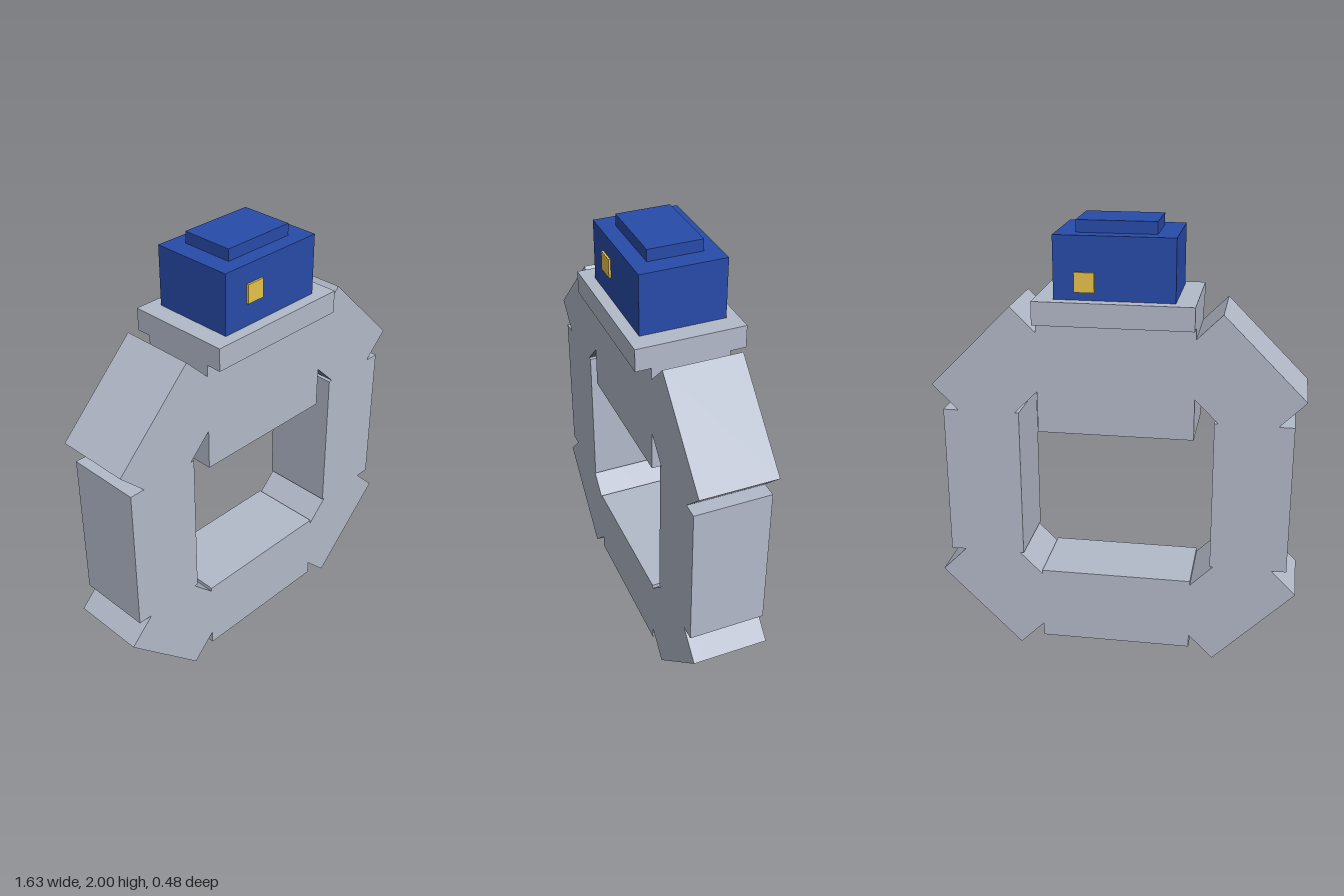
import * as THREE from 'three';

const mat = (name, color) => {
  const m = new THREE.MeshStandardMaterial({ color });
  m.name = name;
  return m;
};

export function createModel() {
  const silver = mat('silver grey', 0xb2b9c8);
  const slate = mat('slate grey', 0x6f768c);
  const blue = mat('deep blue', 0x284ba9);
  const gold = mat('gold', 0xedc84c);
  const model = new THREE.Group();
  model.name = 'ring';

  // Box by size and centre, optionally turned about z
  const box = (name, material, [w, h, d], [x, y, z], turn = 0) => {
    const mesh = new THREE.Mesh(new THREE.BoxGeometry(w, h, d), material);
    mesh.name = name;
    mesh.position.set(x, y, z);
    mesh.rotation.z = turn;
    model.add(mesh);
  };

  // Band bars are silver with a slate underside
  const band = [silver, silver, silver, slate, silver, silver];
  const T = 0.342;

  // Eight-sided band: bottom bar, side bars and four diagonal bars
  box('bottomBar', band, [0.685, T, T], [0, 0.22, 0]);
  for (const s of [1, -1]) {
    const side = s > 0 ? 'left' : 'right';
    box(side + 'Bar', band, [T, 0.685, T], [s * 0.6, 0.817, 0]);
    box(side + 'LowerDiagonal', band, [0.513, T, T], [s * 0.514, 0.302, 0], s * Math.PI / 4);
    box(side + 'UpperDiagonal', band, [0.513, T, T], [s * 0.514, 1.334, 0], -s * Math.PI / 4);
  }

  // Thick top block and the setting plate
  box('topBlock', band, [0.685, 0.5, T], [0, 1.328, 0]);
  box('settingPlate', silver, [0.685, 0.102, 0.48], [0, 1.628, 0]);

  // Stepped gem
  box('gem', blue, [0.514, 0.27, 0.376], [0, 1.813, 0]);
  box('gemTop', blue, [0.342, 0.052, 0.24], [0, 1.974, 0]);

  // Small square inlays on the front and back of the gem
  box('frontInlay', gold, [0.086, 0.084, 0.009], [-0.097, 1.822, 0.1925]);
  box('backInlay', gold, [0.086, 0.084, 0.009], [0.125, 1.755, -0.1925]);

  return model;
}
